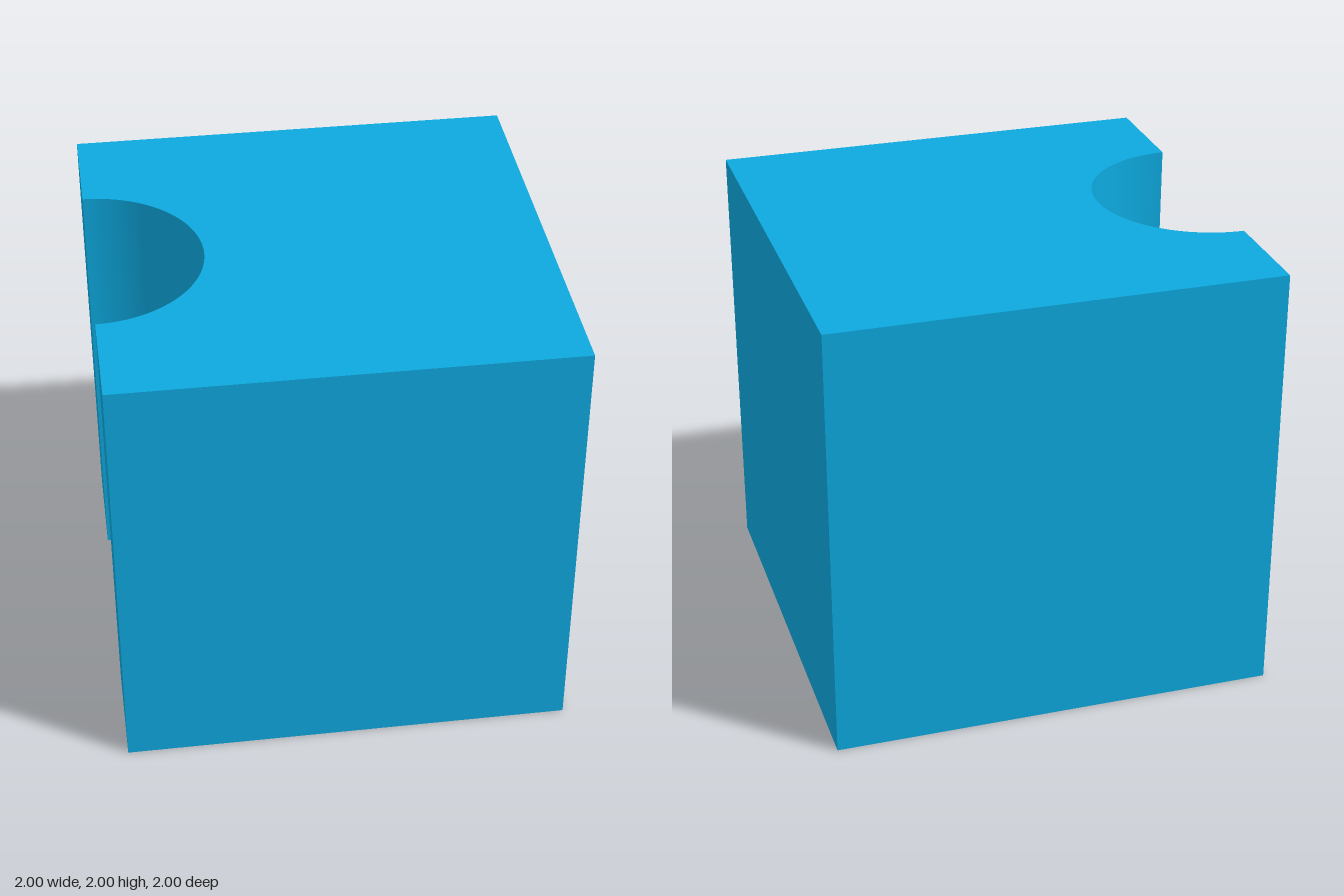
import * as THREE from 'three';
import { toCreasedNormals } from 'three/addons/utils/BufferGeometryUtils.js';

const SIZE = 2;
const HALF = SIZE / 2;
const GROOVE_RADIUS = 0.5;

export function createModel() {
  const group = new THREE.Group();
  group.name = 'groovedCube';

  // Square plan with a half-round bite in the middle of the -x side
  const plan = new THREE.Shape();
  plan.moveTo(-HALF, -HALF);
  plan.lineTo(HALF, -HALF);
  plan.lineTo(HALF, HALF);
  plan.lineTo(-HALF, HALF);
  plan.lineTo(-HALF, GROOVE_RADIUS);
  plan.absarc(-HALF, 0, GROOVE_RADIUS, Math.PI / 2, -Math.PI / 2, true);
  plan.closePath();

  // Raise the plan into a block: smooth groove wall, sharp edges
  const extruded = new THREE.ExtrudeGeometry(plan, { depth: SIZE, bevelEnabled: false, curveSegments: 48 });
  extruded.rotateX(-Math.PI / 2);
  const geometry = toCreasedNormals(extruded, Math.PI / 6);

  const block = new THREE.Mesh(geometry, new THREE.MeshStandardMaterial({ color: 0x0da9df }));
  block.name = 'block';
  group.add(block);
  return group;
}
